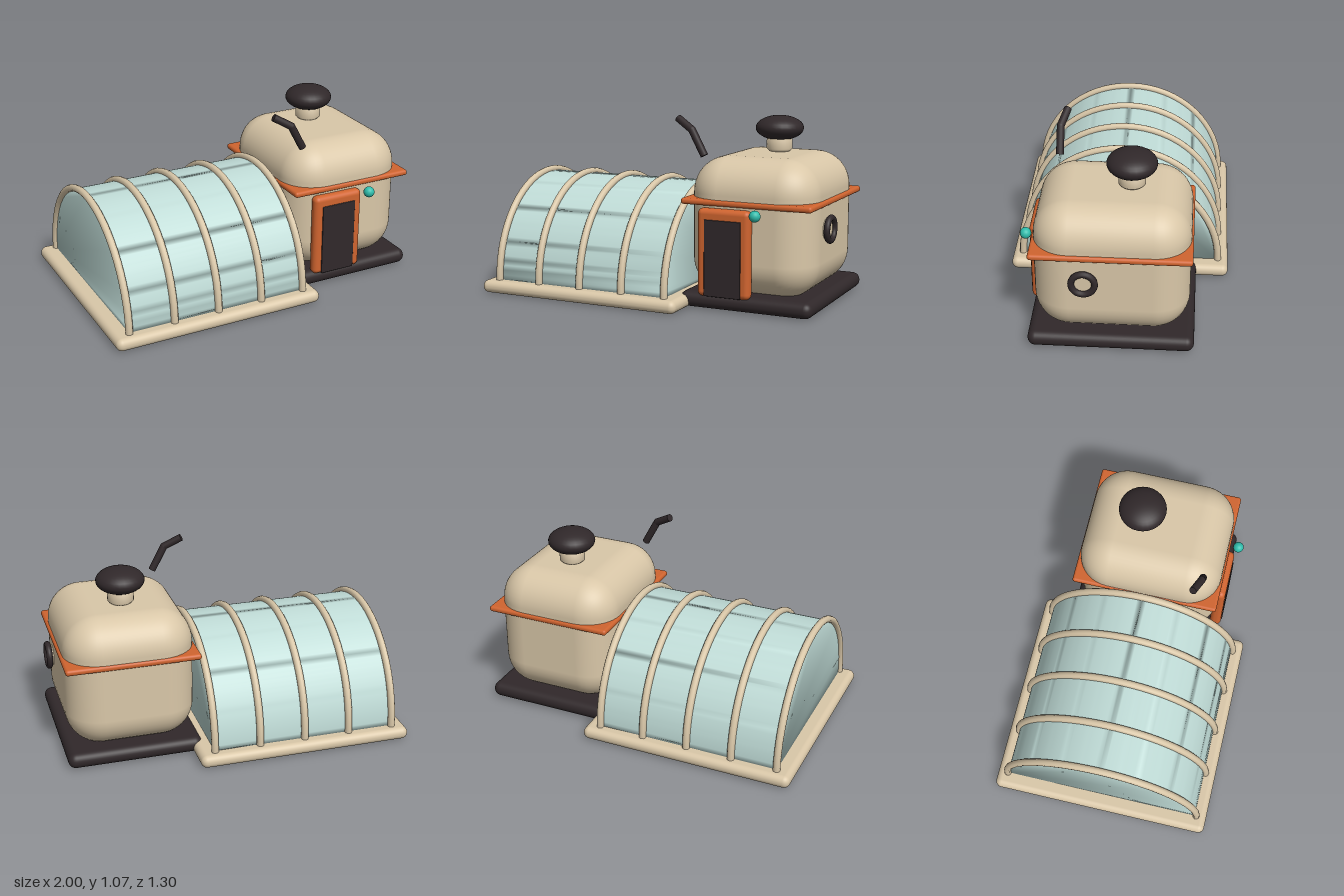
import * as THREE from 'three';
import { mergeVertices } from 'three/addons/utils/BufferGeometryUtils.js';
import { RoundedBoxGeometry } from 'three/addons/geometries/RoundedBoxGeometry.js';

const paint = (name, color) => Object.assign(new THREE.MeshStandardMaterial({ color }), { name });

export function createModel() {
  const cream = paint('cream', 0xd9c7a8);
  const orange = paint('orange', 0xd0642f);
  const dark = paint('charcoal', 0x30282a);
  const glass = paint('pale glass', 0xc0dcd7);
  const teal = paint('teal', 0x2fbdac);
  const model = new THREE.Group();

  const add = (name, geometry, material, x = 0, y = 0, z = 0) => {
    const mesh = new THREE.Mesh(geometry, material);
    mesh.name = name;
    mesh.position.set(x, y, z);
    model.add(mesh);
    return mesh;
  };
  // Rounded box given by its two extreme corners
  const block = (name, material, min, max, radius, segments = 4) => {
    const size = max.map((v, i) => v - min[i]);
    const mid = max.map((v, i) => (v + min[i]) / 2);
    return add(name, new RoundedBoxGeometry(...size, segments, radius), material, ...mid);
  };
  const rod = (name, from, to, radius, material) => {
    const a = new THREE.Vector3(...from), b = new THREE.Vector3(...to);
    const mesh = add(name, new THREE.CylinderGeometry(radius, radius, a.distanceTo(b), 16), material);
    mesh.position.copy(a).add(b).multiplyScalar(0.5);
    mesh.quaternion.setFromUnitVectors(new THREE.Vector3(0, 1, 0), b.sub(a).normalize());
  };

  // Bases
  block('greenhouseBase', cream, [-1, 0, -0.65], [0.26, 0.075, 0.65], 0.036);
  block('houseBase', dark, [0.2, 0.005, -0.46], [0.98, 0.095, 0.46], 0.044);

  // Greenhouse vault: half disc swept along x, softly shaded over its ends
  const arch = new THREE.Shape();
  arch.absarc(0, 0, 0.58, 0, Math.PI, false);
  arch.closePath();
  let vault = new THREE.ExtrudeGeometry(arch, { depth: 1.08, bevelEnabled: false, curveSegments: 32 });
  vault.rotateY(Math.PI / 2);
  vault.deleteAttribute('normal');
  vault.deleteAttribute('uv');
  vault = mergeVertices(vault);
  vault.computeVertexNormals();
  add('greenhouseGlass', vault, glass, -0.91, 0.075, 0);

  // Ribs over the vault
  for (let i = 0; i < 5; i++) {
    const rib = new THREE.TorusGeometry(0.588, 0.021, 10, 32, Math.PI);
    add('rib', rib, cream, -0.91 + i * 0.27, 0.075, 0).rotation.y = Math.PI / 2;
  }

  // House body and the band around it
  block('houseBody', cream, [0.21, 0.07, -0.43], [0.955, 0.845, 0.43], 0.2, 6);
  block('band', orange, [0.2, 0.585, -0.44], [0.97, 0.62, 0.44], 0.016);

  // Door
  block('doorFrame', orange, [0.315, 0.08, 0.405], [0.628, 0.575, 0.474], 0.03);
  block('doorPanel', dark, [0.362, 0.085, 0.47], [0.58, 0.515, 0.479], 0.0044);
  add('doorLamp', new THREE.SphereGeometry(0.032, 20, 14), teal, 0.666, 0.556, 0.487);

  // Round window on the side
  add('windowRing', new THREE.TorusGeometry(0.064, 0.018, 12, 32), dark, 0.98, 0.455, 0.143)
    .rotation.y = Math.PI / 2;
  add('windowPane', new THREE.CylinderGeometry(0.06, 0.06, 0.03, 28), cream, 0.96, 0.455, 0.143)
    .rotation.z = Math.PI / 2;

  // Lid knob on a short neck
  const neck = [[0, -0.05], [0.06, -0.05], [0.075, -0.035], [0.075, 0.06], [0, 0.06]]
    .map(([r, y]) => new THREE.Vector2(r, y));
  add('knobNeck', new THREE.LatheGeometry(neck, 28), cream, 0.583, 0.895, -0.095);
  add('knob', new THREE.SphereGeometry(0.139, 28, 18), dark, 0.583, 0.98, -0.095).scale.y = 0.52;

  // Bent spout pipe
  const elbow = [0.222, 0.99, 0.33];
  rod('pipeLower', [0.298, 0.848, 0.33], elbow, 0.022, dark);
  rod('pipeUpper', elbow, [0.123, 1.048, 0.298], 0.022, dark);
  add('pipeElbow', new THREE.SphereGeometry(0.022, 16, 10), dark, ...elbow);

  return model;
}
